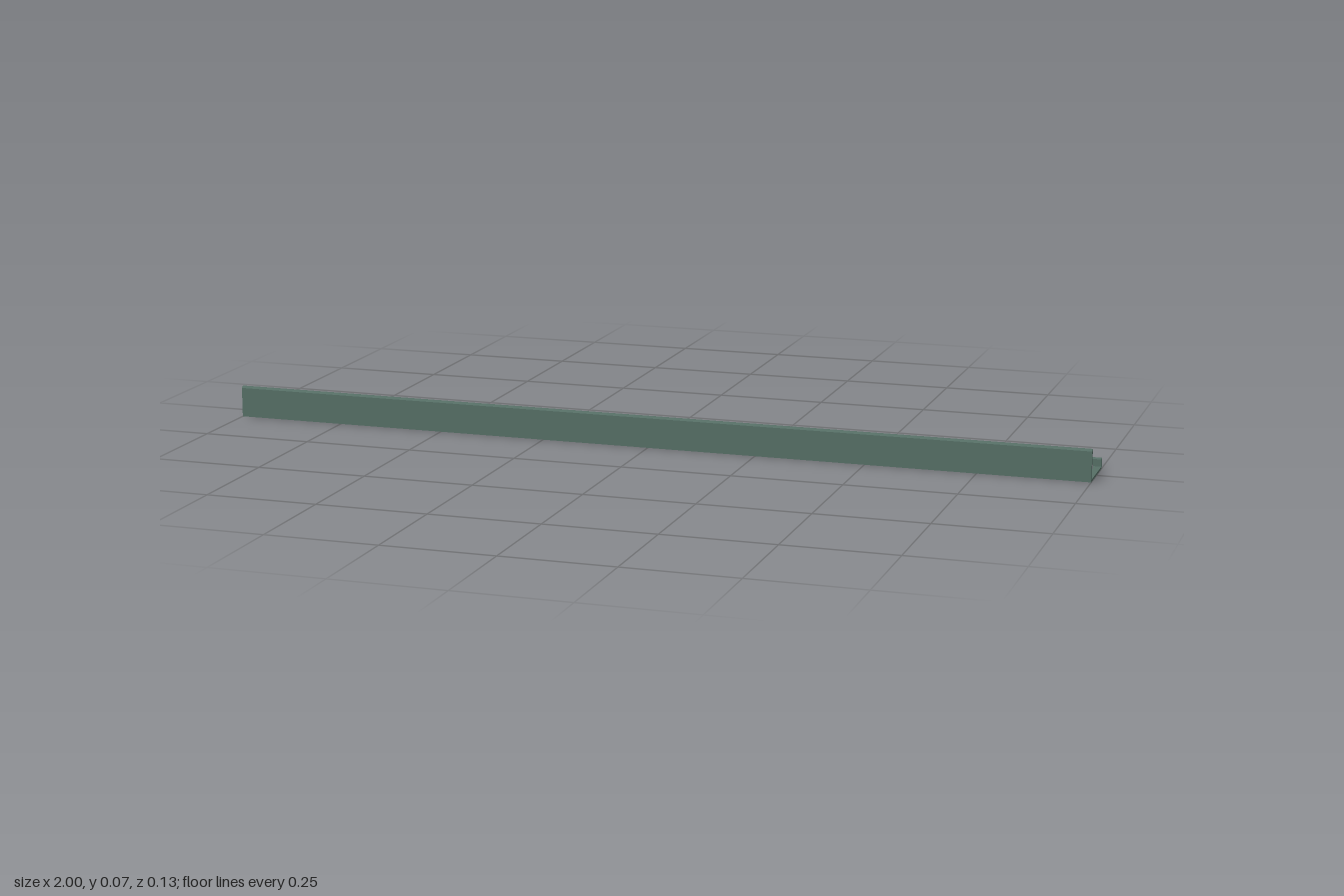
import * as THREE from 'three';

const mat = (name, color) => {
  const m = new THREE.MeshStandardMaterial({ color });
  m.name = name;
  return m;
};

// Extrudes a cross-section of [z, y] points along x, from x0 to x1
function bar(name, points, x0, x1, material) {
  const shape = new THREE.Shape(points.map(([z, y]) => new THREE.Vector2(-z, y)));
  const g = new THREE.ExtrudeGeometry(shape, { depth: x1 - x0, bevelEnabled: false });
  g.rotateY(Math.PI / 2);
  g.translate(x0, 0, 0);
  const mesh = new THREE.Mesh(g, material);
  mesh.name = name;
  return mesh;
}

export function createModel() {
  const green = mat('greyGreenPaint', 0x566f66);
  const grey = mat('lightGreyMetal', 0x9aa2a4);
  const dark = mat('darkPlastic', 0x343d3f);
  const white = mat('whitePlastic', 0xeceeec);
  const cream = mat('creamDiffuser', 0xe2d2a6);

  const model = new THREE.Group();
  model.name = 'linearLight';

  // Trough: tall front wall with a rounded inward lip, low back wall
  model.add(bar('trough', [
    [0.065, 0], [0.065, 0.068], [0.062, 0.072], [0.056, 0.072], [0.053, 0.069],
    [0.053, 0.065], [0.056, 0.062], [0.059, 0.06], [0.059, 0.005],
    [-0.06, 0.005], [-0.06, 0.021], [-0.062, 0.024], [-0.065, 0.024], [-0.065, 0],
  ], -1, 1, green));

  // Sloping support inside the trough
  model.add(bar('wedge', [
    [0.045, 0.005], [0.045, 0.043], [0.035, 0.043], [-0.04, 0.014], [-0.04, 0.005],
  ], -0.985, 0.985, grey));

  // Tilted lamp resting on the slope
  const lamp = new THREE.Group();
  lamp.name = 'lamp';
  lamp.position.set(0, 0.031, 0.003);
  lamp.rotation.x = -0.37;
  model.add(lamp);

  // Dark carrier rail under the covers
  lamp.add(bar('rail', [[0.021, -0.002], [0.021, 0.002], [-0.021, 0.002], [-0.021, -0.002]], -0.958, 0.958, dark));

  for (const side of [-1, 1]) {
    const a = side < 0 ? -0.955 : 0.002;
    const b = a + 0.953;
    // Rounded cover with a cream luminous face
    lamp.add(bar('cover', [
      [0.019, 0], [0.018, 0.009], [0.015, 0.0125], [-0.015, 0.0125], [-0.018, 0.009], [-0.019, 0],
    ], a, b, white));
    lamp.add(bar('diffuser', [
      [0.0165, 0.0125], [0.014, 0.0142], [-0.014, 0.0142], [-0.0165, 0.0125],
    ], a, b, cream));
    // End connector
    const cap = new THREE.Mesh(new THREE.BoxGeometry(0.026, 0.011, 0.024), dark);
    cap.name = 'endConnector';
    cap.position.set(side * 0.968, 0.0045, 0);
    lamp.add(cap);
  }
  return model;
}
